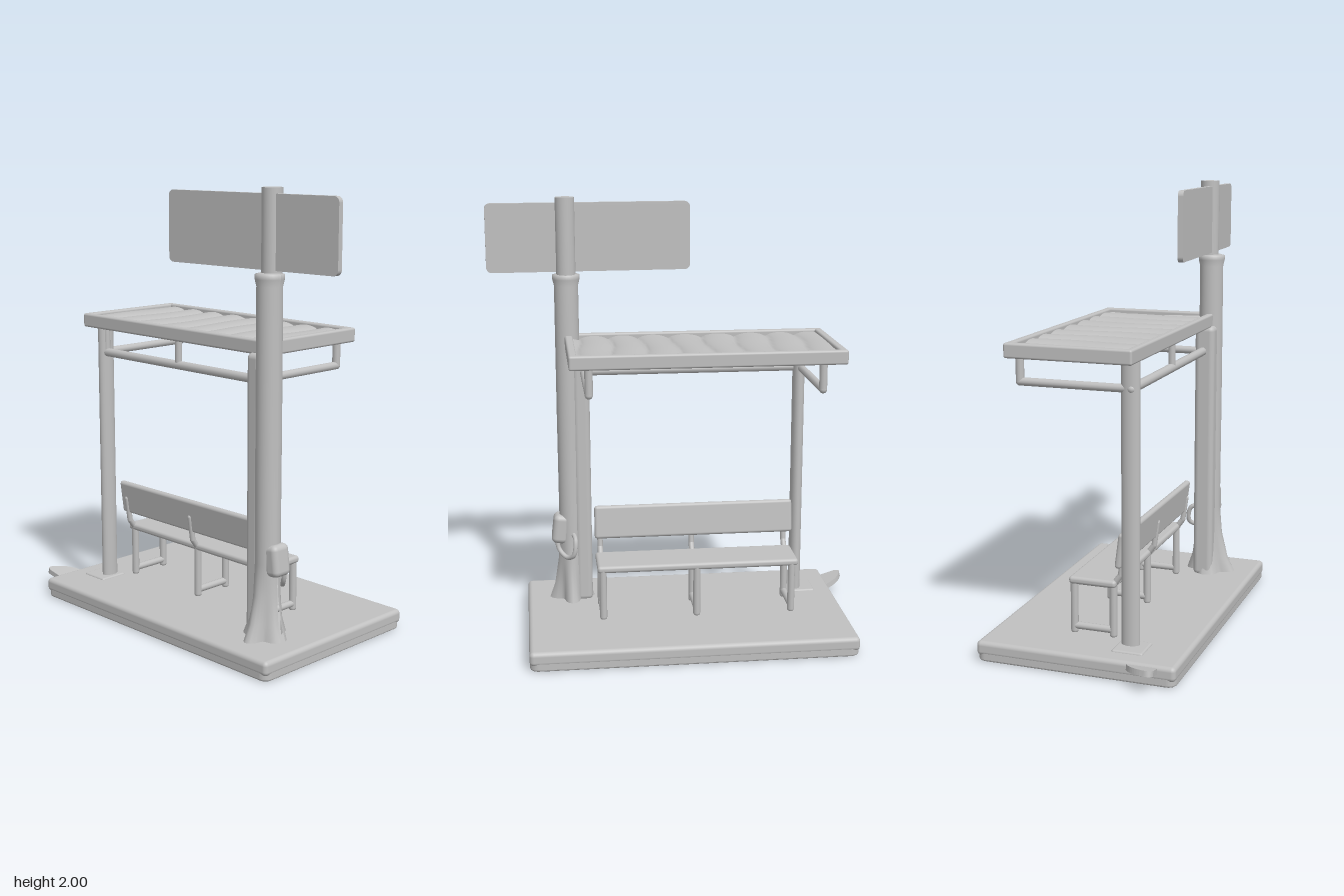
import * as THREE from 'three';
import { RoundedBoxGeometry } from 'three/addons/geometries/RoundedBoxGeometry.js';

export function createModel() {
  const model = new THREE.Group();
  const grey = new THREE.MeshStandardMaterial({ color: 0xc0c0c0 });
  grey.name = 'pale grey';

  function add(name, geometry, parent = model) {
    const mesh = new THREE.Mesh(geometry, grey);
    mesh.name = name;
    parent.add(mesh);
    return mesh;
  }
  // Rounded box given by its lower and upper limits on each axis
  function box(name, [x0, x1], [y0, y1], [z0, z1], radius = 0.01, parent = model) {
    const mesh = add(name, new RoundedBoxGeometry(x1 - x0, y1 - y0, z1 - z0, 3, radius), parent);
    mesh.position.set((x0 + x1) / 2, (y0 + y1) / 2, (z0 + z1) / 2);
    return mesh;
  }
  // Round bars joining a row of points
  function bar(name, points, radius, parent = model) {
    const v = points.map((p) => new THREE.Vector3(...p));
    for (let i = 1; i < v.length; i++) {
      const d = v[i].clone().sub(v[i - 1]);
      const mesh = add(name, new THREE.CapsuleGeometry(radius, d.length(), 4, 12), parent);
      mesh.position.copy(v[i]).add(v[i - 1]).multiplyScalar(0.5);
      mesh.quaternion.setFromUnitVectors(new THREE.Vector3(0, 1, 0), d.normalize());
    }
  }
  // Rectangle outline with rounded corners
  function roundRect(path, w, h, r) {
    path.absarc(w - r, h - r, r, 0, Math.PI / 2);
    path.absarc(-w + r, h - r, r, Math.PI / 2, Math.PI);
    path.absarc(-w + r, -h + r, r, Math.PI, Math.PI * 1.5);
    path.absarc(w - r, -h + r, r, Math.PI * 1.5, Math.PI * 2);
    path.closePath();
    return path;
  }
  function group(name) {
    const g = new THREE.Group();
    g.name = name;
    model.add(g);
    return g;
  }

  // Pavement slab, hollowed slightly underneath by a rim
  box('base', [-0.45, 0.445], [0.025, 0.09], [-0.765, 0.71], 0.02);
  const rimShape = roundRect(new THREE.Shape(), 0.432, 0.722, 0.025);
  rimShape.holes.push(roundRect(new THREE.Path(), 0.41, 0.7, 0.01));
  const rimGeometry = new THREE.ExtrudeGeometry(rimShape, {
    depth: 0.04, bevelSize: 0.014, bevelThickness: 0.01, bevelSegments: 3 });
  const rim = add('baseRim', rimGeometry);
  rim.rotation.x = -Math.PI / 2;
  rim.position.set(-0.0025, 0.01, -0.0275);

  // Small leaf-shaped flap at the back
  const leaf = new THREE.Shape();
  leaf.moveTo(-0.37, 0.74);
  leaf.lineTo(-0.38, 0.85);
  leaf.quadraticCurveTo(-0.375, 0.885, -0.34, 0.87);
  leaf.quadraticCurveTo(-0.25, 0.84, -0.225, 0.74);
  const flap = add('baseFlap', new THREE.ExtrudeGeometry(leaf, { depth: 0.024, bevelEnabled: false }));
  flap.rotation.x = -Math.PI / 2 + 0.25;
  flap.position.set(0, -0.135, -0.012);

  // Main post, flaring into roots at the foot
  const postProfile = [[0.085, 0.08], [0.07, 0.16], [0.06, 0.28], [0.055, 0.42],
    [0.056, 1.0], [0.055, 1.6], [0.062, 1.63], [0.062, 1.65], [0.045, 1.655], [0, 1.655]];
  const postGeometry = new THREE.LatheGeometry(postProfile.map(([r, y]) => new THREE.Vector2(r, y)), 32);
  const p = postGeometry.attributes.position;
  for (let i = 0; i < p.count; i++) {
    const x = p.getX(i), y = p.getY(i), z = p.getZ(i);
    const flare = Math.max(0, (0.42 - y) / 0.34);
    const s = 1 + 0.3 * flare * flare * Math.cos(4 * Math.atan2(z, x));
    p.setXYZ(i, x * s - (x < 0 ? 0.03 * flare * flare : 0), y, z * s);
  }
  postGeometry.computeVertexNormals();
  add('mainPost', postGeometry).position.set(-0.218, 0, 0.497);
  const pole = add('signPole', new THREE.CylinderGeometry(0.044, 0.044, 0.36, 24));
  pole.position.set(-0.206, 1.82, 0.497);
  box('postBacking', [-0.26, -0.165], [0.08, 1.32], [0.4, 0.48], 0.025);

  // Rear post, oval in section, on a low foot plate
  const rearPost = add('rearPost', new THREE.CylinderGeometry(0.028, 0.028, 1.26, 20));
  rearPost.position.set(-0.197, 0.7, -0.588);
  rearPost.scale.x = 1.45;
  box('rearPostFoot', [-0.28, -0.14], [0.07, 0.098], [-0.68, -0.54], 0.01);

  // Sign board, turned slightly about the pole
  const board = roundRect(new THREE.Shape(), 0.465, 0.155, 0.025);
  const sign = add('signBoard', new THREE.ExtrudeGeometry(board, { depth: 0.024, bevelEnabled: false }).translate(0, 0, -0.012));
  sign.position.set(-0.22, 1.82, 0.39);
  sign.rotation.y = Math.PI / 2 + 0.045;

  // Roof frame
  const roof = group('roof');
  for (const x of [-0.225, 0.305]) box('roofSideRail', [x - 0.016, x + 0.016], [1.312, 1.376], [-0.7, 0.51], 0.01, roof);
  for (const z of [-0.682, 0.492]) box('roofEndRail', [-0.24, 0.32], [1.312, 1.376], [z - 0.018, z + 0.018], 0.01, roof);

  // Roof sheet of soft crowns with uneven narrow creases
  const sheet = new THREE.BoxGeometry(0.51, 0.018, 1.15, 12, 1, 120);
  const sp = sheet.attributes.position;
  for (let i = 0; i < sp.count; i++) {
    const x = sp.getX(i), z = sp.getZ(i);
    const wander = 0.012 * Math.sin(x * 11 + z * 7);
    const crown = Math.abs(Math.sin(Math.PI * (z - 0.115 + wander) / 0.145));
    sp.setY(i, sp.getY(i) + 0.022 * Math.sqrt(crown) - 0.016);
  }
  sheet.computeVertexNormals();
  add('roofSheet', sheet, roof).position.set(0.04, 1.35, -0.095);

  // Hanging bars below the roof
  const braces = group('roofBraces');
  for (const z of [0.425, -0.595]) {
    bar('endBrace', [[-0.2, 1.2, z], [0.292, 1.2, z], [0.292, 1.33, z]], 0.018, braces);
  }
  bar('longBrace', [[-0.205, 1.2, 0.44], [-0.205, 1.2, -0.6]], 0.02, braces);
  for (const z of [0.425, -0.07, -0.57]) bar('braceUpright', [[-0.205, 1.2, z], [-0.205, 1.33, z]], 0.016, braces);

  // Bench: seat, leaning backrest and three leg frames
  const bench = group('bench');
  box('seat', [-0.11, 0.105], [0.315, 0.348], [-0.545, 0.39], 0.014, bench);
  const backrest = box('backrest', [-0.147, -0.117], [0.408, 0.565], [-0.555, 0.39], 0.014, bench);
  backrest.rotation.z = 0.13;
  for (const z of [0.365, -0.07, -0.515]) {
    bar('legFrame', [[-0.092, 0.1, z], [-0.092, 0.325, z], [0.088, 0.325, z], [0.088, 0.1, z]], 0.017, bench);
    bar('legTie', [[-0.092, 0.12, z], [0.088, 0.12, z]], 0.016, bench);
    bar('backSupport', [[-0.092, 0.325, z], [-0.125, 0.37, z], [-0.14, 0.48, z]], 0.013, bench);
  }

  // Box on the post with a looped cable
  const callBox = box('callBox', [-0.262, -0.165], [0.37, 0.51], [0.51, 0.585], 0.025);
  callBox.rotation.x = -0.12;
  const cable = new THREE.CatmullRomCurve3([[-0.19, 0.4, 0.57], [-0.18, 0.34, 0.555], [-0.15, 0.31, 0.52],
    [-0.12, 0.33, 0.49], [-0.13, 0.4, 0.48], [-0.18, 0.42, 0.49]].map((q) => new THREE.Vector3(...q)));
  add('cableLoop', new THREE.TubeGeometry(cable, 32, 0.011, 10));

  return model;
}
